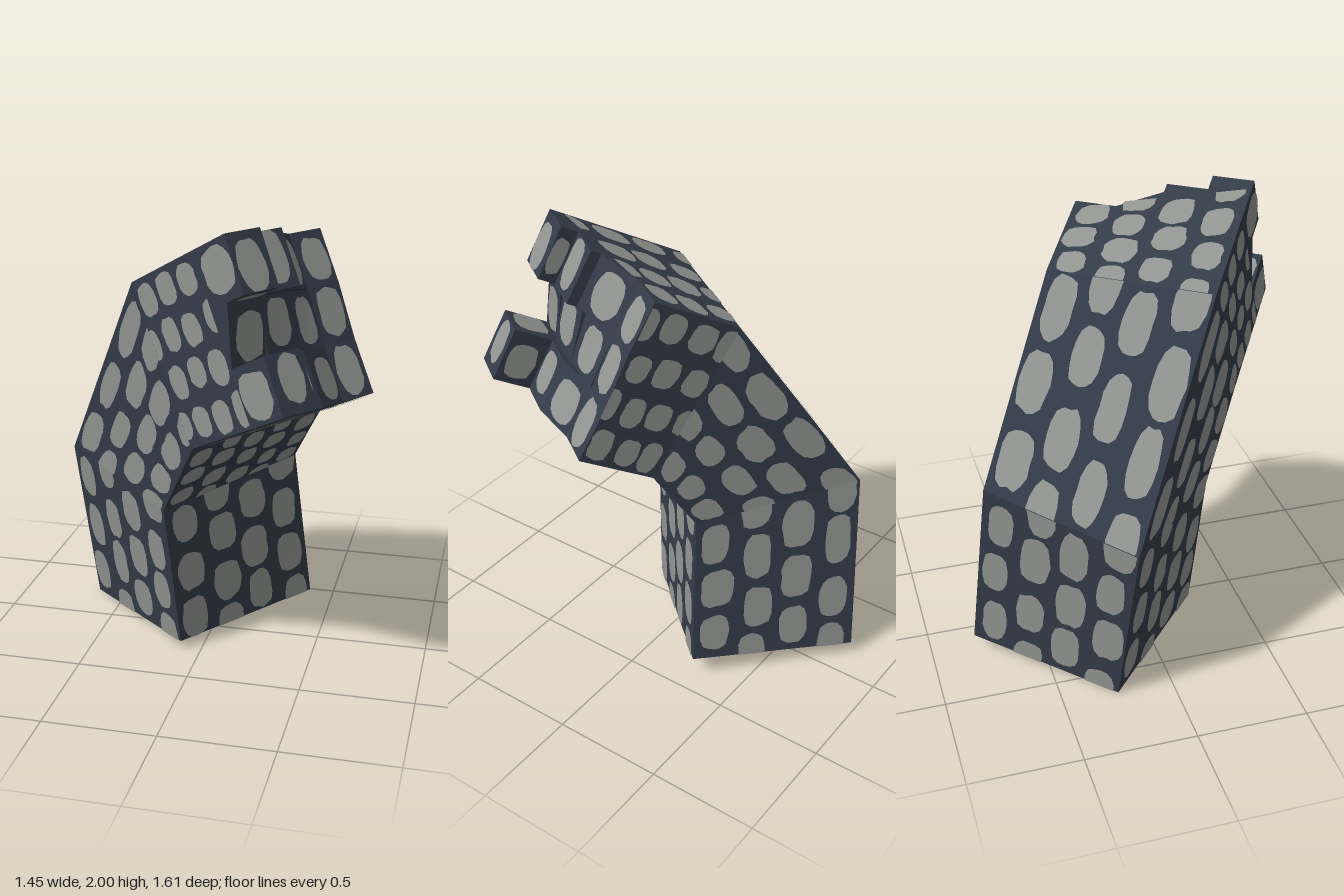
import * as THREE from 'three';
import { mergeGeometries } from 'three/addons/utils/BufferGeometryUtils.js';

const V = (x, y, z) => new THREE.Vector3(x, y, z);

let seed = 7;
const rand = () => {
  seed = (seed * 16807) % 2147483647;
  return seed / 2147483647 - 0.5;
};

// Point on the bilinear patch between four corners
const onQuad = ([a, b, c, d], u, v) =>
  a.clone().lerp(b, u).lerp(d.clone().lerp(c, u), v);

function geometry(points, index) {
  const g = new THREE.BufferGeometry();
  g.setAttribute('position', new THREE.Float32BufferAttribute(points.flatMap((p) => p.toArray()), 3));
  g.setIndex(index);
  g.computeVertexNormals();
  return g;
}

// Wall surface
function panel(quad, n = 6) {
  const points = [], index = [];
  for (let j = 0; j <= n; j++)
    for (let i = 0; i <= n; i++) {
      points.push(onQuad(quad, i / n, j / n));
      if (i < n && j < n) {
        const k = j * (n + 1) + i;
        index.push(k, k + 1, k + n + 2, k, k + n + 2, k + n + 1);
      }
    }
  return geometry(points, index);
}

// Rounded stones laid over a quad in staggered columns, cut off at its edges
function stones(quad, nu, nv) {
  const [a, b, c, d] = quad;
  const lift = c.clone().sub(a).cross(d.clone().sub(b)).normalize().multiplyScalar(0.005);
  const list = [], sides = 16;
  const clamp = (t) => Math.min(1, Math.max(0, t));
  for (let i = 0; i < nu; i++) {
    const shift = i % 2 ? 0.5 : 0;
    for (let j = 0; j < nv + (shift ? 1 : 0); j++) {
      const cu = i + 0.5 + rand() * 0.12, cv = j + 0.5 - shift + rand() * 0.14;
      const ru = 0.365 + rand() * 0.08, rv = 0.41 + rand() * 0.08;
      const at = (x, y) => onQuad(quad, clamp(x / nu), clamp(y / nv)).add(lift);
      const points = [at(cu, Math.max(0.05, Math.min(nv - 0.05, cv)))], index = [];
      for (let k = 0; k < sides; k++) {
        const t = (k / sides) * Math.PI * 2, x = Math.cos(t), y = Math.sin(t);
        const r = Math.pow(Math.abs(x) ** 3 + Math.abs(y) ** 3, -1 / 3) * (1 + rand() * 0.12);
        points.push(at(cu + x * r * ru, cv + y * r * rv));
        index.push(0, k + 1, ((k + 1) % sides) + 1);
      }
      list.push(geometry(points, index));
    }
  }
  return list;
}

export function createModel() {
  seed = 7;
  const model = new THREE.Group();
  const mortar = new THREE.MeshStandardMaterial({ color: 0x343c49 });
  mortar.name = 'darkMortar';
  const stone = new THREE.MeshStandardMaterial({ color: 0x929592 });
  stone.name = 'greyStone';

  function add(name, walls, spots) {
    const group = new THREE.Group();
    group.name = name;
    for (const [part, list, material] of [['Wall', walls, mortar], ['Stones', spots, stone]]) {
      const mesh = new THREE.Mesh(mergeGeometries(list), material);
      mesh.name = name + part;
      group.add(mesh);
    }
    model.add(group);
  }

  // Square rings at the foot and at both bends: left, front, right, back corner
  const foot = [V(-0.64, 0, -0.25), V(-0.09, 0.04, 0.26), V(0.415, 0.1, -0.29), V(-0.14, 0.06, -0.8)];
  const knee = [V(-0.725, 0.78, -0.18), V(-0.15, 0.7, 0.31), V(0.335, 0.805, -0.25), V(-0.235, 0.905, -0.73)];
  const neck = [V(-0.285, 1.71, 0.28), V(0.03, 1.07, 0.5), V(0.465, 1.07, -0.12), V(0.15, 1.715, -0.335)];

  // Lower and leaning sections
  function section(name, lower, upper, counts, cap) {
    const walls = [], spots = [];
    for (let i = 0; i < 4; i++) {
      const j = (i + 1) % 4;
      const quad = [lower[i], lower[j], upper[j], upper[i]];
      walls.push(panel(quad));
      spots.push(...stones(quad, ...counts[i]));
    }
    if (cap) {
      const quad = [lower[0], lower[3], lower[2], lower[1]];
      walls.push(panel(quad));
      spots.push(...stones(quad, 4, 4));
    }
    add(name, walls, spots);
  }
  section('lowerColumn', foot, knee, [[4, 3], [4, 3], [4, 3], [4, 3]], true);
  section('leaningColumn', knee, neck, [[4, 3], [5, 3], [4, 3], [4, 3]], false);

  // Broken end: 4 x 3 blocks, each with its own reach at its four corners
  const flat = (k) => [k, k, k, k];
  const reach = [
    [flat(1), flat(0.71), [0.71, 0.59, 0.59, 0.71], flat(0.59)],
    [[0.67, 0.67, 0.83, 0.83], [0.69, 0.66, 0.75, 0.8], [0.66, 0.6, 0.62, 0.72], [0.59, 0.59, 0.62, 0.62]],
    [flat(1), flat(0.875), [0.8, 0.62, 0.62, 0.8], flat(0.62)],
  ];
  const [L, F, R, B] = neck;
  const at = (s, t, k) =>
    onQuad([F, R, B, L], s, t).addScaledVector(V(0.455, 0.28, 0.32), k * (0.96 + 0.08 * t));
  const cell = (i, j) => {
    const k = reach[j]?.[i] ?? flat(0);
    const s = i / 4, t = j / 3, s1 = (i + 1) / 4, t1 = (j + 1) / 3;
    return [at(s, t, k[0]), at(s1, t, k[1]), at(s1, t1, k[2]), at(s, t1, k[3])];
  };
  const walls = [], spots = [];
  // Wall between two neighbouring blocks; the tall inner ones carry a stone
  const step = (quad, inner) => {
    const [a, b, c, d] = quad;
    const size = Math.min(a.distanceTo(b) + c.distanceTo(d), a.distanceTo(d) + b.distanceTo(c));
    if (size < 0.005) return;
    walls.push(panel(quad, 2));
    if (inner && size > 0.15) spots.push(...stones(quad, 1, 1));
  };
  for (let j = -1; j < 3; j++)
    for (let i = -1; i < 4; i++) {
      const a = cell(i, j);
      if (i >= 0 && j >= 0) {
        walls.push(panel(a, 3));
        spots.push(...stones(a, 1, 1));
      }
      if (j >= 0) {
        const b = cell(i + 1, j);
        step([b[0], b[3], a[2], a[1]], i >= 0 && i < 3);
      }
      if (i >= 0) {
        const b = cell(i, j + 1);
        step([b[0], a[3], a[2], b[1]], j >= 0 && j < 2);
      }
    }

  // Stones on the four sides of the broken end
  spots.push(
    ...stones([at(0, 1, 0), at(0, 0, 0), at(0, 0, 0.67), at(0, 1, 0.67)], 4, 3),
    ...stones([at(0, 0.333, 0.68), at(0, 0, 0.68), at(0, 0, 1), at(0, 0.333, 1)], 1, 1),
    ...stones([at(0, 1, 0.68), at(0, 0.667, 0.68), at(0, 0.667, 1), at(0, 1, 1)], 1, 1),
    ...stones([at(0, 0, 0), at(1, 0, 0), at(1, 0, 0.58), at(0, 0, 0.7)], 4, 3),
    ...stones([at(0, 0, 0.71), at(0.25, 0, 0.71), at(0.25, 0, 1), at(0, 0, 1)], 1, 1),
    ...stones([at(1, 0, 0), at(1, 1, 0), at(1, 1, 0.62), at(1, 0, 0.59)], 4, 3),
    ...stones([at(1, 1, 0), at(0, 1, 0), at(0, 1, 0.92), at(1, 1, 0.56)], 4, 3),
  );
  add('brokenEnd', walls, spots);
  return model;
}
